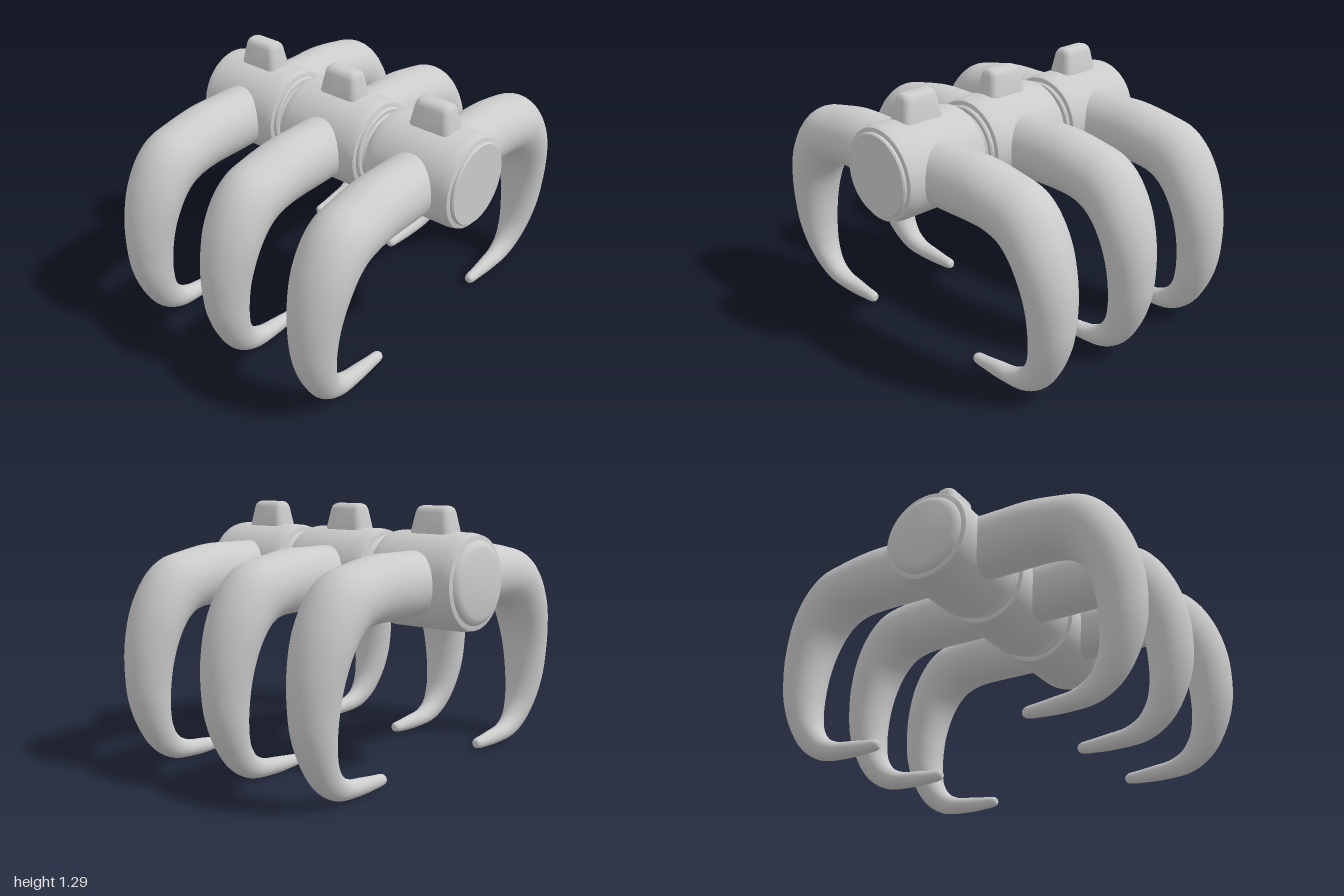
import * as THREE from 'three';
import { toCreasedNormals } from 'three/addons/utils/BufferGeometryUtils.js';

const AXIS_Y = 0.94;

// Skin a list of equal-sized rings of Vector3, closing both ends with a fan.
function loft(rings) {
  const n = rings[0].length, pos = [], index = [];
  rings.forEach(r => r.forEach(p => pos.push(p.x, p.y, p.z)));
  for (let i = 0; i < rings.length - 1; i++) {
    for (let j = 0; j < n; j++) {
      const a = i * n + j, b = i * n + (j + 1) % n;
      index.push(a, b, b + n, a, b + n, a + n);
    }
  }
  [0, rings.length - 1].forEach(k => {
    const c = new THREE.Vector3();
    rings[k].forEach(p => c.addScaledVector(p, 1 / n));
    const ci = pos.length / 3;
    pos.push(c.x, c.y, c.z);
    for (let j = 0; j < n; j++) {
      const a = k * n + j, b = k * n + (j + 1) % n;
      if (k === 0) index.push(ci, b, a); else index.push(ci, a, b);
    }
  });
  const g = new THREE.BufferGeometry();
  g.setAttribute('position', new THREE.Float32BufferAttribute(pos, 3));
  g.setIndex(index);
  g.computeVertexNormals();
  return g;
}

// Curved tapering leg: paired outer and inner edge points plus half depth in z.
function legGeometry() {
  const stations = [ // outer x, y, inner x, y, half depth
    [0.10, 1.093, 0.10, 0.78, 0.152],
    [0.30, 1.093, 0.30, 0.78, 0.152],
    [0.46, 1.092, 0.48, 0.78, 0.153],
    [0.62, 1.067, 0.57, 0.772, 0.155],
    [0.75, 1.035, 0.64, 0.745, 0.155],
    [0.84, 0.965, 0.70, 0.69, 0.154],
    [0.93, 0.82, 0.745, 0.61, 0.148],
    [0.985, 0.64, 0.772, 0.50, 0.13],
    [0.998, 0.48, 0.782, 0.39, 0.114],
    [0.985, 0.34, 0.78, 0.29, 0.10],
    [0.935, 0.20, 0.76, 0.20, 0.081],
    [0.86, 0.09, 0.71, 0.13, 0.062],
    [0.75, 0.022, 0.64, 0.095, 0.05],
    [0.60, 0.004, 0.55, 0.083, 0.04],
    [0.48, 0.006, 0.47, 0.073, 0.031],
    [0.405, 0.014, 0.405, 0.064, 0.025],
    [0.392, 0.024, 0.392, 0.054, 0.015],
  ];
  const outer = new THREE.CatmullRomCurve3(stations.map(s => new THREE.Vector3(s[0], s[1], s[4])));
  const inner = new THREE.CatmullRomCurve3(stations.map(s => new THREE.Vector3(s[2], s[3], 0)));
  const steps = 80, sides = 32, rings = [];
  for (let i = 0; i <= steps; i++) {
    const o = outer.getPoint(i / steps), q = inner.getPoint(i / steps), depth = o.z;
    o.z = 0;
    const mid = o.clone().add(q).multiplyScalar(0.5), half = o.clone().sub(mid);
    rings.push(Array.from({ length: sides }, (_, j) => {
      const a = j / sides * Math.PI * 2;
      const p = mid.clone().addScaledVector(half, Math.cos(a));
      p.z = depth * Math.sin(a);
      return p;
    }));
  }
  return loft(rings);
}

// Tapered crest with rounded corners and a softened top.
function crestGeometry() {
  const levels = [ // y, half width x, half length z, corner radius
    [1.12, 0.076, 0.122, 0.035],
    [1.17, 0.068, 0.115, 0.035],
    [1.265, 0.052, 0.096, 0.03],
    [1.282, 0.044, 0.092, 0.03],
    [1.292, 0.032, 0.084, 0.025],
    [1.296, 0.018, 0.07, 0.015],
  ];
  const rings = levels.map(([y, hx, hz, r]) => {
    const ring = [];
    for (let c = 0; c < 4; c++) {
      const sx = c === 0 || c === 3 ? 1 : -1, sz = c < 2 ? 1 : -1;
      for (let k = 0; k <= 5; k++) {
        const a = (c + k / 5) * Math.PI / 2;
        ring.push(new THREE.Vector3(sx * (hx - r) + r * Math.cos(a), y, sz * (hz - r) + r * Math.sin(a)));
      }
    }
    return ring.reverse();
  });
  return toCreasedNormals(loft(rings), 0.6);
}

// Turned part along z from [radius, z] pairs running back to front.
function turned(profile) {
  const g = new THREE.LatheGeometry(profile.map(([r, z]) => new THREE.Vector2(r, z)), 64);
  g.rotateX(Math.PI / 2);
  return toCreasedNormals(g, 0.6);
}

export function createModel() {
  const model = new THREE.Group();
  model.name = 'clawedSpine';
  const material = new THREE.MeshStandardMaterial({ color: 0xcccccc, roughness: 0.7 });
  const add = (parent, name, geometry, y = 0, z = 0) => {
    const mesh = new THREE.Mesh(geometry, material);
    mesh.name = name;
    mesh.position.set(0, y, z);
    parent.add(mesh);
    return mesh;
  };

  const drum = turned([[0, -0.237], [0.215, -0.237], [0.226, -0.233], [0.231, -0.215], [0.235, -0.19],
    [0.235, 0.19], [0.231, 0.215], [0.226, 0.233], [0.215, 0.237], [0, 0.237]]);
  const frontCap = turned([[0.205, 0.22], [0.205, 0.248], [0.199, 0.255], [0, 0.255]]);
  const backCap = turned([[0, -0.265], [0.165, -0.265], [0.182, -0.259], [0.196, -0.248], [0.203, -0.235], [0.203, -0.22]]);
  const leg = legGeometry();
  const crest = crestGeometry();

  // Three identical spine segments, each with a crest and a pair of legs
  [['front', 0.544], ['middle', 0], ['back', -0.534]].forEach(([label, z]) => {
    const segment = new THREE.Group();
    segment.name = label + 'Segment';
    segment.position.z = z;
    model.add(segment);
    add(segment, 'drum', drum, AXIS_Y);
    add(segment, 'frontCap', frontCap, AXIS_Y);
    add(segment, 'backCap', backCap, AXIS_Y);
    add(segment, 'crest', crest);
    add(segment, 'leftLeg', leg, 0, 0.003);
    add(segment, 'rightLeg', leg, 0, 0.003).rotation.y = Math.PI;
  });

  // Waisted necks joining the segments
  const neck = turned([[0.2, -0.045], [0.185, -0.02], [0.175, 0], [0.185, 0.02], [0.2, 0.045]]);
  add(model, 'frontNeck', neck, AXIS_Y, 0.267);
  add(model, 'backNeck', neck, AXIS_Y, -0.267);
  return model;
}
